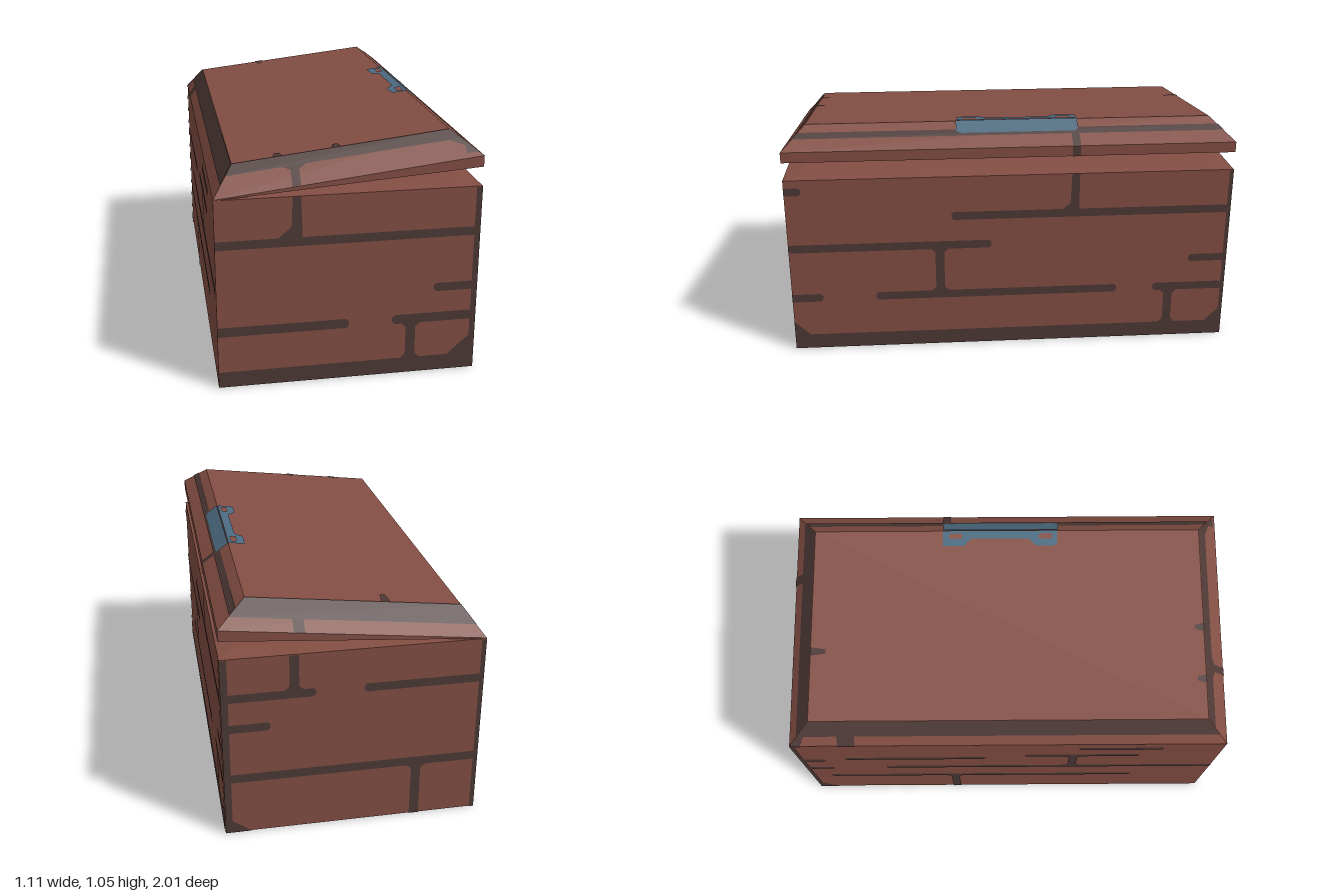
import * as THREE from 'three';

const brick = new THREE.MeshStandardMaterial({ color: 0x834e43 });
brick.name = 'brick red';
const mortar = new THREE.MeshStandardMaterial({ color: 0x4c3936 });
mortar.name = 'dark mortar';
const blue = new THREE.MeshStandardMaterial({ color: 0x4b6b81 });
blue.name = 'steel blue';

const K = 0.1155; // tilt of the lid, rise per unit of x

// Solid through four-cornered rings, given bottom to top, capped at both ends
function ringSolid(name, rings) {
  const pos = rings.flat(2), idx = [], n = rings.length;
  for (let r = 0; r < n - 1; r++) {
    for (let i = 0; i < 4; i++) {
      const a = r * 4 + i, b = r * 4 + (i + 1) % 4;
      idx.push(a, b, b + 4, a, b + 4, a + 4);
    }
  }
  const t = (n - 1) * 4;
  idx.push(0, 2, 1, 0, 3, 2, t, t + 1, t + 2, t, t + 2, t + 3);
  const indexed = new THREE.BufferGeometry();
  indexed.setAttribute('position', new THREE.Float32BufferAttribute(pos, 3));
  indexed.setIndex(idx);
  const geo = indexed.toNonIndexed();
  geo.computeVertexNormals();
  const mesh = new THREE.Mesh(geo, brick);
  mesh.name = name;
  return mesh;
}

// Rectangular ring, counter-clockwise from above, left and right heights given
const ring = (xl, yl, xr, yr, z) => [[xl, yl, z], [xr, yr, z], [xr, yr, -z], [xl, yl, -z]];

const poly = (...pts) => new THREE.Shape(pts.map(p => new THREE.Vector2(...p)));
const rect = (a, b, c, d) => poly([a, b], [c, b], [c, d], [a, d]);

// Horizontal mortar line with clipped ends; ends listed in "square" stay straight
function line(u0, u1, v, h = 0.038, square = '') {
  const c = h * 0.3, l = square.includes('l') ? 0 : c, r = square.includes('r') ? 0 : c;
  const a = v - h / 2, b = v + h / 2;
  return poly([u0 + l, a], [u1 - r, a], [u1, a + r], [u1, b - r], [u1 - r, b], [u0 + l, b], [u0, b - l], [u0, a + l]);
}

// Vertical joint that flares where it meets the lines
function joint(u, v0, v1, w = 0.04, f0 = 0.02, f1 = 0.02) {
  const h = w / 2;
  return poly([u - h - f0, v0], [u + h + f0, v0], [u + h, v0 + f0], [u + h, v1 - f1],
    [u + h + f1, v1], [u - h - f1, v1], [u - h, v1 - f1], [u - h, v0 + f0]);
}

// Thin painted face: shapes in (u, v) laid on the plane o + u*x + v*y
function paint(name, o, x, y, shapes, mat = mortar, lift = 0.003) {
  const X = new THREE.Vector3(...x), Y = new THREE.Vector3(...y);
  const N = X.clone().cross(Y).normalize();
  const O = new THREE.Vector3(...o).addScaledVector(N, lift);
  const geo = new THREE.ShapeGeometry(shapes);
  geo.applyMatrix4(new THREE.Matrix4().makeBasis(X, Y, N).setPosition(O));
  geo.computeVertexNormals();
  const mesh = new THREE.Mesh(geo, mat);
  mesh.name = name;
  return mesh;
}

function createBody() {
  const g = new THREE.Group();
  g.name = 'chestBody';
  g.add(ringSolid('bodyBlock', [
    ring(-0.55, 0, 0.55, 0, 1), ring(-0.55, 0.828, 0.55, 0.828, 1), ring(-0.42, 0.837, 0.48, 0.837, 0.93),
  ]));
  // Front wall, u = x
  g.add(paint('frontMortar', [0, 0, 1], [1, 0, 0], [0, 1, 0], [
    rect(-0.55, 0, 0.55, 0.07), rect(0.525, 0.07, 0.55, 0.825),
    line(-0.55, 0, 0.253, 0.042, 'l'), line(0.185, 0.525, 0.253, 0.042, 'r'),
    joint(0.266, 0.07, 0.234, 0.042), line(0.36, 0.525, 0.39, 0.038, 'r'),
    line(-0.55, 0.525, 0.635, 0.038, 'lr'),
    poly([-0.3, 0.65], [-0.195, 0.65], [-0.2, 0.828], [-0.235, 0.828], [-0.24, 0.7]),
    poly([0.43, 0.07], [0.525, 0.07], [0.525, 0.155]),
  ]));
  // Right wall, u = -z
  g.add(paint('rightMortar', [0.55, 0, 0], [0, 0, -1], [0, 1, 0], [
    rect(-1, 0, 1, 0.07), rect(0.982, 0.07, 1, 0.825),
    line(-0.62, 0.49, 0.257), line(-1, -0.86, 0.257, 0.038, 'l'), line(0.66, 0.982, 0.257, 0.038, 'r'),
    joint(-0.325, 0.274, 0.486), line(-1, -0.09, 0.502, 0.038, 'l'),
    line(-0.27, 0.982, 0.642, 0.038, 'r'),
    poly([0.225, 0.655], [0.305, 0.655], [0.305, 0.828], [0.27, 0.828], [0.265, 0.69]),
    line(-1, -0.925, 0.775, 0.036, 'l'), line(0.82, 0.982, 0.4, 0.036, 'r'), joint(0.735, 0.07, 0.24),
    poly([-1, 0.07], [-0.93, 0.07], [-1, 0.14]), poly([0.92, 0.07], [0.982, 0.07], [0.982, 0.13]),
  ]));
  // Back wall, u = -x
  g.add(paint('backMortar', [0, 0, -1], [-1, 0, 0], [0, 1, 0], [
    rect(-0.55, 0, -0.52, 0.825), rect(0.53, 0, 0.55, 0.825),
    line(-0.52, 0.53, 0.27, 0.04, 'lr'), joint(0.275, 0, 0.252, 0.042, 0),
    line(-0.52, -0.16, 0.65, 0.038, 'l'), line(-0.52, -0.35, 0.51, 0.038, 'l'),
    line(0.04, 0.53, 0.65, 0.038, 'r'), joint(-0.25, 0.667, 0.825, 0.04, 0.02, 0),
    poly([-0.52, 0], [-0.44, 0], [-0.52, 0.06]),
  ]));
  // Left wall, u = z
  g.add(paint('leftMortar', [-0.55, 0, 0], [0, 0, 1], [0, 1, 0], [
    rect(-1, 0, -0.98, 0.825),
    line(-0.9, 0.62, 0.262), joint(-0.27, 0, 0.245, 0.04, 0),
    line(-0.6, 1, 0.435, 0.038, 'r'), joint(0.31, 0.452, 0.625),
    line(-0.78, -0.11, 0.6), line(0.08, 0.62, 0.642), line(0.33, 0.72, 0.76),
    line(-0.98, -0.86, 0.42, 0.038, 'l'), line(-0.98, -0.88, 0.57, 0.038, 'l'),
    poly([-0.98, 0], [-0.9, 0], [-0.98, 0.09]),
  ]));
  // Underside, u = x, v = z
  g.add(paint('baseMortar', [0, 0, 0], [1, 0, 0], [0, 0, 1], [
    line(-0.55, 0.55, -0.53, 0.08, 'lr'), line(-0.43, 0.55, 0.44, 0.08, 'r'),
    line(-0.5, -0.14, 0.12, 0.08), rect(-0.5, -0.49, -0.44, 0.09),
    rect(0.42, 0.48, 0.5, 1), poly([0.33, 0.48], [0.42, 0.48], [0.42, 0.58]),
  ], mortar, 0.002));
  return g;
}

function createLid() {
  const g = new THREE.Group();
  g.name = 'tiltedLid';
  // Underside recess, rim, thin skirt, sloping sides, flat top
  g.add(ringSolid('lidBlock', [
    ring(-0.46, 0.85, 0.46, 0.94, 0.9), ring(-0.48, 0.832, 0.48, 0.905, 0.93),
    ring(-0.55, 0.827, 0.55, 0.91, 1), ring(-0.55, 0.83, 0.55, 0.957, 1),
    ring(-0.465, 0.943, 0.43, 1.046, 0.9),
  ]));
  // On each slope v runs 0 to 1 from eave to top
  g.add(paint('lidFrontMortar', [0, 0.8935, 1], [1, K, 0], [0, 0.103, -0.1], [
    poly([-0.495, 0.65], [0.472, 0.65], [0.43, 1], [-0.465, 1]),
    poly([-0.235, 0], [-0.2, 0], [-0.2, 0.52], [-0.17, 0.65], [-0.265, 0.65], [-0.235, 0.52]),
    poly([0.472, 0.65], [0.42, 0.65], [0.48, 0.4], [0.48, 0.15], [0.532, 0.15]),
  ]));
  g.add(paint('lidBackMortar', [0, 0.8935, -1], [-1, -K, 0], [0, 0.103, 0.1], [
    poly([-0.5, 0.4], [0.516, 0.4], [0.465, 1], [-0.43, 1]),
    rect(-0.25, 0, -0.205, 0.4),
  ]));
  g.add(paint('lidLeftMortar', [-0.55, 0.83, 0], [0, 0, 1], [0.085, 0.113, 0], [
    poly([-0.96, 0.4], [0.96, 0.4], [0.9, 1], [-0.9, 1]),
    rect(-0.78, 0, -0.7, 0.4), poly([-1, 0], [-0.95, 0], [-0.93, 0.4], [-0.96, 0.4]),
  ]));
  g.add(paint('lidRightMortar', [0.55, 0.957, 0], [0, 0, -1], [-0.12, 0.089, 0], [
    poly([-0.955, 0.45], [0.955, 0.45], [0.932, 0.68], [-0.932, 0.68]),
    rect(0.27, 0, 0.305, 0.45),
  ]));
  g.add(paint('lidSkirtMortar', [0.55, 0.91, 0], [0, 0, -1], [0, 0.047, 0], [rect(0.27, 0, 0.305, 1)]));
  // Chips at the top edges, u = x, v = -z
  const chip = (u, v, d) => poly([u - 0.02, v], [u - 0.01, v + d], [u + 0.01, v + d], [u + 0.02, v]);
  const top = [[0, 0.9965, 0], [1, K, 0], [0, 0, -1]];
  g.add(paint('lidTopChips', ...top, [
    chip(-0.28, -0.9, 0.04), chip(-0.04, -0.9, 0.04),
    poly([-0.165, 0.9], [-0.155, 0.83], [-0.135, 0.83], [-0.125, 0.9]),
  ]));
  // Blue clasp wrapped over the right edge
  const clasp = poly([0.43, -0.235], [0.37, -0.235], [0.355, -0.22], [0.355, -0.14], [0.375, -0.115],
    [0.39, -0.1], [0.39, 0.165], [0.375, 0.185], [0.355, 0.2], [0.355, 0.3], [0.43, 0.3]);
  for (const v of [-0.18, 0.24]) {
    clasp.holes.push(new THREE.Path([[0.39, v - 0.03], [0.39, v + 0.03], [0.415, v + 0.03], [0.415, v - 0.03]]
      .map(p => new THREE.Vector2(...p))));
  }
  g.add(paint('claspTop', ...top, [clasp], blue, 0.005));
  g.add(paint('claspSide', [0.55, 0.957, 0], [0, 0, -1], [-0.12, 0.089, 0], [
    poly([-0.22, 0.54], [0.285, 0.54], [0.3, 0.62], [0.3, 1], [-0.24, 1], [-0.24, 0.62]),
  ], blue, 0.005));
  return g;
}

export function createModel() {
  const model = new THREE.Group();
  model.name = 'brickChest';
  model.add(createBody(), createLid());
  return model;
}
